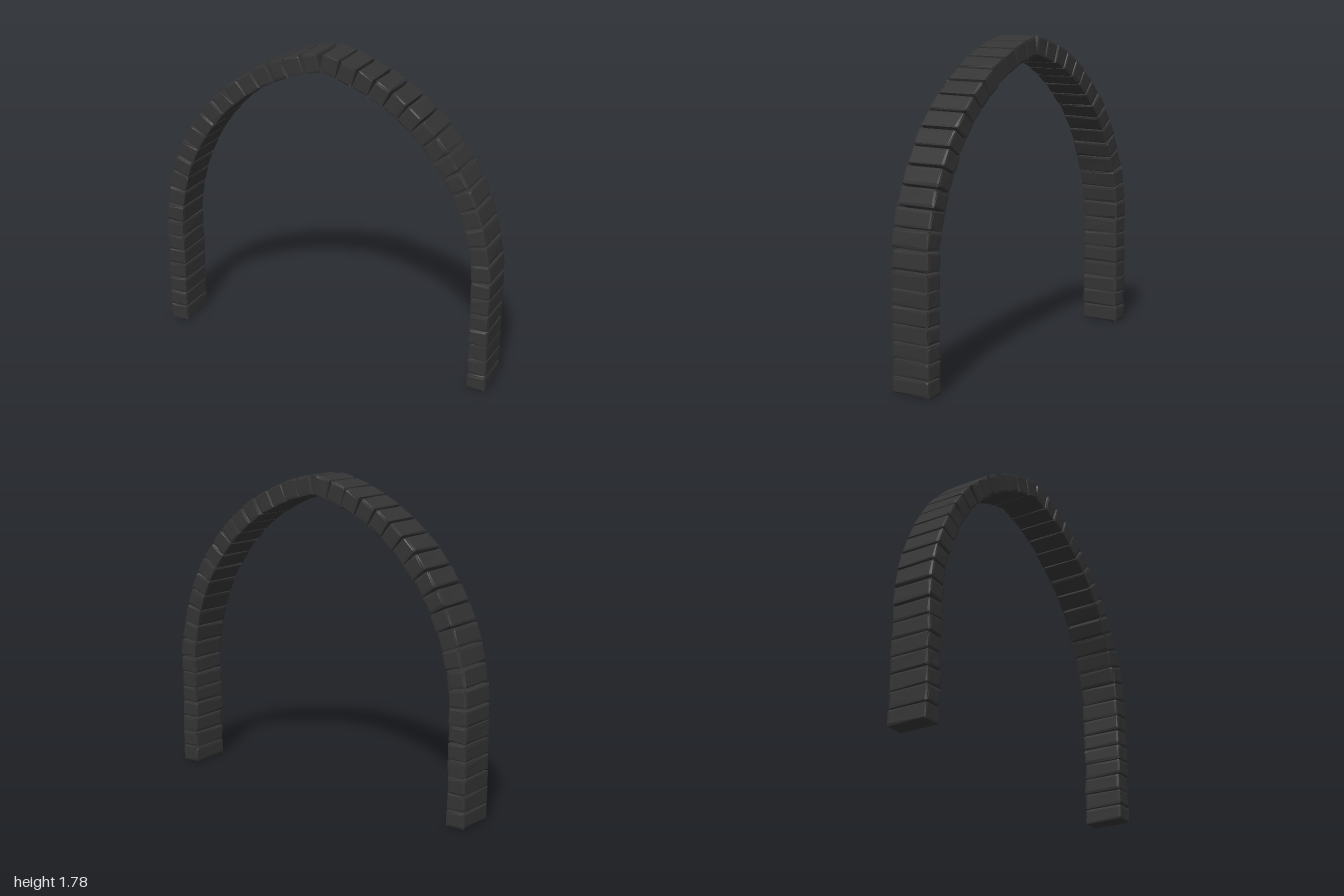
import * as THREE from 'three';

const STONE = new THREE.MeshStandardMaterial({ color: 0x343434, flatShading: true });
const DEPTH = 0.235, THICK = 0.112;

// Small seeded random generator
function seeded(seed) {
  let s = seed;
  return () => {
    s = (s * 16807) % 2147483647;
    return s / 2147483647;
  };
}

// Rough-hewn block: a box with narrow worn bevels and slightly uneven faces
function stoneGeometry(w, h, d, seed) {
  const rand = seeded(seed * 7919 + 13);
  const geo = new THREE.BoxGeometry(w, h, d, 3, 3, 3);
  const p = geo.attributes.position;
  const half = [w / 2, h / 2, d / 2];
  const bevel = 0.007;
  const moved = new Map();
  for (let i = 0; i < p.count; i++) {
    const v = [p.getX(i), p.getY(i), p.getZ(i)];
    const key = v.map((c) => Math.round(c * 1e4)).join();
    if (!moved.has(key)) {
      const outer = v.map((c, k) => Math.abs(c) > half[k] * 0.9);
      const edges = outer.filter(Boolean).length;
      const wear = edges > 1 ? bevel * (0.35 + 0.5 * rand()) : 0.0025 * rand();
      moved.set(key, v.map((c, k) => Math.sign(c) * (outer[k]
        ? half[k] - wear
        : half[k] - bevel * (1.2 + 1.8 * rand()))));
    }
    p.setXYZ(i, ...moved.get(key));
  }
  geo.computeVertexNormals();
  return geo;
}

export function createModel() {
  const arch = new THREE.Group();
  arch.name = 'stoneArch';
  let seed = 1;

  const addStone = (parent, name, x, y, angle, length) => {
    const rand = seeded(seed * 4271 + 5);
    rand();
    const mesh = new THREE.Mesh(stoneGeometry(THICK, length, DEPTH, seed++), STONE);
    mesh.name = name;
    mesh.position.set(x, y, (rand() - 0.5) * 0.007);
    mesh.rotation.z = angle;
    parent.add(mesh);
  };

  for (const side of [1, -1]) {
    const half = new THREE.Group();
    half.name = side > 0 ? 'leftHalf' : 'rightHalf';

    // Upright pier of seven stacked stones
    const pitch = 0.0915;
    for (let i = 0; i < 7; i++) {
      addStone(half, 'pierStone', side * (1.001 - THICK / 2), (i + 0.5) * pitch, 0, pitch + 0.001);
    }

    // Fifteen stones along an arc that meets its mirror at a blunt point
    const cx = -0.203, cy = 0.6, r = 1.149;
    for (let i = 0; i < 15; i++) {
      const a = THREE.MathUtils.degToRad(4.7 + i * 5.17);
      addStone(half, 'archStone', side * (cx + r * Math.cos(a)), cy + r * Math.sin(a), side * a, 0.101);
    }
    arch.add(half);
  }
  return arch;
}
